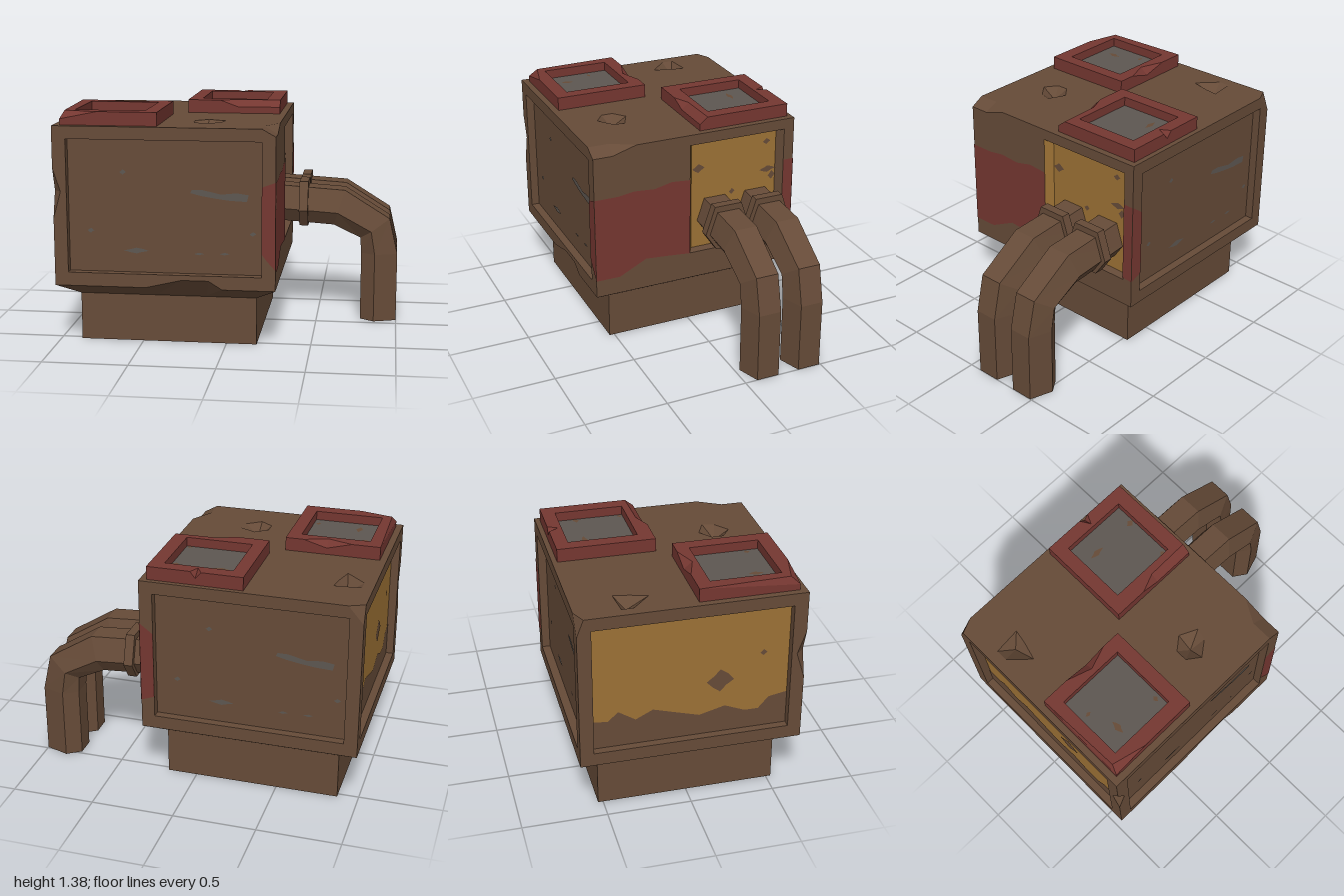
import * as THREE from 'three';

const mat = (name, color) => {
  const m = new THREE.MeshStandardMaterial({ color, side: THREE.DoubleSide });
  m.name = name;
  return m;
};

// Flat polygons (each a convex loop of 3D points) joined into one faceted mesh
function facets(parent, name, material, polys) {
  const v = [];
  for (const p of polys)
    for (let i = 1; i < p.length - 1; i++) v.push(...p[0], ...p[i], ...p[i + 1]);
  const g = new THREE.BufferGeometry();
  g.setAttribute('position', new THREE.Float32BufferAttribute(v, 3));
  g.computeVertexNormals();
  const mesh = new THREE.Mesh(g, material);
  mesh.name = name;
  parent.add(mesh);
}

// Flat sheet with holes, in the local plane of a side
function sheet(parent, name, material, outline, holes = [], z = 0) {
  const pts = a => a.map(p => new THREE.Vector2(p[0], p[1]));
  const s = new THREE.Shape(pts(outline));
  s.holes = holes.map(h => new THREE.Path(pts(h)));
  const mesh = new THREE.Mesh(new THREE.ShapeGeometry(s), material);
  mesh.position.z = z;
  mesh.name = name;
  parent.add(mesh);
}

const rect = (x0, y0, x1, y1) => [[x0, y0], [x1, y0], [x1, y1], [x0, y1]];

// Ragged paint patch
const blob = (cx, cy, rx, ry) => [1, 0.8, 1, 0.65, 1, 0.75, 0.95, 0.6].map((r, i) => {
  const a = i * Math.PI / 4;
  return [cx + rx * r * Math.cos(a), cy + ry * r * Math.sin(a)];
});

// Walls joining an outer loop to an inner loop at depth z1
function wallPolys(outer, inner, z0, z1) {
  return outer.map((p, i) => {
    const j = (i + 1) % outer.length;
    return [[...p, z0], [...inner[i], z1], [...inner[j], z1], [...outer[j], z0]];
  });
}

export function createModel() {
  const root = new THREE.Group();
  const brown = mat('rusty brown', 0x664b38);
  const red = mat('faded red', 0x753731);
  const yellow = mat('ochre yellow', 0x9c7135);
  const grey = mat('bare metal grey', 0x5d5751);

  const side = (name, x, y, z, rx, ry) => {
    const g = new THREE.Group();
    g.name = name;
    g.position.set(x, y, z);
    g.rotation.set(rx, ry, 0);
    root.add(g);
    return g;
  };
  const H = Math.PI / 2;
  const front = side('frontSide', 0, 0, 0.65, 0, 0);
  const back = side('backSide', 0, 0, -0.65, 0, Math.PI);
  const right = side('pipeSide', 0.3, 0, 0, 0, H);
  const left = side('paintedSide', -1, 0, 0, 0, -H);
  const top = side('topSide', 0, 1.305, 0, -H, 0);

  // Front and back walls with shallow recessed panels and scratches
  const frontHole = rect(-0.92, 0.44, 0.22, 1.23);
  const backHole = rect(-0.22, 0.44, 0.92, 1.23);
  sheet(front, 'frontWall', brown, [[-1, 0.36], [-0.46, 0.36], [-0.25, 0.41], [-0.09, 0.41], [-0.01, 0.36],
    [0.3, 0.36], [0.3, 1.26], [0.22, 1.305], [-1, 1.305], [-1, 1.06], [-0.955, 0.92], [-1, 0.76]], [frontHole]);
  sheet(back, 'backWall', brown, [[-0.3, 0.36], [1, 0.36], [1, 1.2], [0.91, 1.305], [-0.3, 1.305]], [backHole]);
  [[front, frontHole, 0], [back, backHole, 0.7]].forEach(([g, hole, du]) => {
    facets(g, 'panelRim', brown, wallPolys(hole, hole, 0, -0.05));
    sheet(g, 'panel', brown, hole, [], -0.05);
    sheet(g, 'longScratch', grey, [[-0.2, 0.92], [-0.14, 0.905], [-0.05, 0.89], [0.03, 0.88], [0.13, 0.875],
      [0.14, 0.915], [0.07, 0.925], [-0.02, 0.915], [-0.13, 0.94], [-0.19, 0.94]].map(([u, v]) => [u + du, v]), [], -0.046);
    for (const [u, v, a, b] of [[-0.52, 0.57, 0.075, 0.018], [-0.79, 0.685, 0.02, 0.015], [-0.595, 1.035, 0.02, 0.015],
      [0.165, 0.685, 0.02, 0.014], [-0.15, 0.56, 0.03, 0.008], [0, 0.563, 0.03, 0.008]])
      sheet(g, 'scratch', grey, blob(u + du, v, a, b), [], -0.046);
  });

  // Pipe side wall with deep panel
  const pOuter = rect(-0.04, 0.53, 0.585, 1.24), pInner = rect(-0.01, 0.537, 0.555, 1.23);
  sheet(right, 'pipeWall', brown, [[-0.65, 0.36], [0.65, 0.36], [0.65, 1.305], [-0.38, 1.305], [-0.53, 1.26], [-0.65, 1.26]], [pOuter]);
  const pWalls = wallPolys(pOuter, pInner, 0, -0.05);
  facets(right, 'pipePanelRim', brown, pWalls.slice(0, 3));
  facets(right, 'pipePanelPaintedRim', yellow, pWalls.slice(3));
  sheet(right, 'pipePanel', yellow, pInner, [], -0.05);
  for (const [u, v, a, b] of [[0.035, 1.06, 0.04, 0.03], [0.49, 1.16, 0.025, 0.02], [0.5, 0.975, 0.055, 0.022],
    [0.53, 0.93, 0.024, 0.03], [0.26, 0.87, 0.02, 0.02]])
    sheet(right, 'pipePanelRust', brown, blob(u, v, a, b), [], -0.046);

  // Red band wrapping around the corners
  sheet(right, 'redBand', red, [[-0.65, 0.47], [-0.5, 0.47], [-0.33, 0.555], [-0.2, 0.545], [-0.04, 0.53],
    [-0.04, 1.02], [-0.16, 1.03], [-0.27, 1.005], [-0.4, 1.015], [-0.5, 1], [-0.65, 1]], [], 0.003);
  sheet(right, 'redBandEnd', red, [[0.585, 0.545], [0.65, 0.54], [0.65, 1.04], [0.585, 1.04]], [], 0.003);
  sheet(front, 'redBandFront', red, [[0.22, 0.58], [0.25, 0.54], [0.3, 0.485], [0.3, 1], [0.22, 0.97]], [], 0.003);
  sheet(back, 'redBandBack', red, [[-0.3, 0.54], [-0.22, 0.57], [-0.22, 0.98], [-0.3, 1.04]], [], 0.003);

  // Painted side wall with wide panel
  const lHole = rect(-0.57, 0.44, 0.57, 1.23);
  sheet(left, 'paintedWall', brown, [[-0.65, 0.36], [0.65, 0.36], [0.65, 0.76], [0.6, 0.92], [0.65, 1.06],
    [0.65, 1.305], [-0.61, 1.305], [-0.65, 1.2]], [lHole]);
  facets(left, 'paintedPanelRim', brown, wallPolys(lHole, lHole, 0, -0.05));
  sheet(left, 'paintedPanel', yellow, lHole, [], -0.05);
  sheet(left, 'paintedPanelRust', brown, [[-0.57, 0.44], [0.57, 0.44], [0.57, 0.65], [0.46, 0.63], [0.4, 0.56],
    [0.32, 0.56], [0.2, 0.61], [0.05, 0.57], [-0.12, 0.62], [-0.22, 0.65], [-0.32, 0.6], [-0.42, 0.665], [-0.48, 0.61], [-0.57, 0.62]], [], -0.046);
  sheet(left, 'rustPatch', brown, blob(0.17, 0.78, 0.08, 0.075), [], -0.046);
  sheet(left, 'rustDot', brown, blob(0.42, 0.93, 0.02, 0.02), [], -0.046);

  // Top with two dents
  const dents = [
    { rim: [[-0.935, 0.32], [-0.82, 0.21], [-0.79, 0.32], [-0.775, 0.405], [-0.935, 0.39]], tip: [-0.845, 0.345, -0.06] },
    { rim: [[-0.21, -0.4], [-0.135, -0.455], [-0.05, -0.39], [-0.03, -0.32], [-0.135, -0.27], [-0.21, -0.33]], tip: [-0.135, -0.365, -0.06] }];
  sheet(top, 'topWall', brown, [[-1, -0.65], [0.22, -0.65], [0.22, -0.52], [0.3, -0.38], [0.3, 0.65], [-0.91, 0.65], [-1, 0.61]],
    dents.map(d => d.rim));
  for (const { rim, tip } of dents)
    facets(top, 'dent', brown, rim.map((p, i) => [[...p, 0], [...rim[(i + 1) % rim.length], 0], tip]));

  // Chipped corners and edges
  const E = [0.22, 1.305, 0.52], B = [0.3, 1.26, 0.65], C = [0.3, 1.26, 0.53];
  const n1 = [-0.955, 0.92, 0.65], n2 = [-1, 0.92, 0.6];
  const a = [-0.46, 0.36, 0.65], b = [-0.25, 0.41, 0.65], c = [-0.09, 0.41, 0.65], d = [-0.01, 0.36, 0.65];
  const e = [-0.4, 0.3, 0.554], f = [-0.11, 0.3, 0.554];
  facets(root, 'chips', brown, [
    [E, [0.22, 1.305, 0.65], B], [E, B, C], [E, C, [0.3, 1.305, 0.38]],
    [[-0.91, 1.305, -0.65], [-1, 1.2, -0.65], [-1, 1.305, -0.61]],
    [[-1, 1.06, 0.65], n2, n1], [[-1, 0.76, 0.65], n1, n2],
    [a, e, b], [b, e, f, c], [c, f, d]]);

  // Sloped underside leading to the plinth
  const up = [[-1, 0.36, 0.65], [0.3, 0.36, 0.65], [0.3, 0.36, -0.65], [-1, 0.36, -0.65]];
  const lo = [[-0.875, 0.285, 0.53], [0.18, 0.285, 0.53], [0.18, 0.285, -0.53], [-0.875, 0.285, -0.53]];
  const slopes = [[up[0], lo[0], e, a], [lo[0], lo[1], f, e], [f, lo[1], up[1], d]];
  for (let i = 1; i < 4; i++) slopes.push([up[i], lo[i], lo[(i + 1) % 4], up[(i + 1) % 4]]);
  facets(root, 'underside', brown, slopes);
  const plinth = new THREE.Mesh(new THREE.BoxGeometry(1.055, 0.285, 1.06), brown);
  plinth.position.set(-0.3475, 0.1425, 0);
  plinth.name = 'plinth';
  root.add(plinth);

  // Roof hatches: outline points are [u, v, inset u, inset v, drop] for worn edges
  const hatch = (outline, hole, spots) => {
    const h = 0.08, n = outline.length, polys = [];
    const bot = p => [p[0], p[1], 0];
    const mid = p => [p[0], p[1], h - (p[4] || 0)];
    const cap = p => [p[0] + (p[2] || 0), p[1] + (p[3] || 0), h];
    outline.forEach((p, i) => {
      const q = outline[(i + 1) % n];
      polys.push([bot(p), bot(q), mid(q), mid(p)]);
      if (p[4]) polys.push([mid(p), mid(q), cap(q), cap(p)]);
      else if (q[4]) polys.push([mid(p), mid(q), cap(q)]);
    });
    facets(top, 'hatchFrameSides', red, polys.concat(wallPolys(hole, hole, h, 0.025)));
    sheet(top, 'hatchFrameTop', red, outline.map(cap), [hole], h);
    sheet(top, 'hatchPlate', grey, hole, [], 0.025);
    for (const s of spots) sheet(top, 'hatchRust', brown, blob(...s), [], 0.028);
  };
  hatch([[-0.31, 0.04], [-0.11, 0.04], [0, 0.04, 0, 0.045, 0.04], [0.26, 0.04, 0, 0.05, 0.04], [0.26, 0.62],
    [0, 0.62], [-0.03, 0.62, 0, -0.06, 0.04], [-0.065, 0.62], [-0.31, 0.62]], rect(-0.23, 0.13, 0.175, 0.54),
  [[-0.12, 0.42, 0.05, 0.018], [0.15, 0.42, 0.025, 0.02], [0.15, 0.15, 0.015, 0.015]]);
  hatch([[-0.96, -0.61, 0.02, 0.05, 0.045], [-0.74, -0.61], [-0.39, -0.61], [-0.39, -0.035], [-0.5, -0.035],
    [-0.64, -0.035, 0, -0.05, 0.04], [-0.79, -0.035], [-0.96, -0.035]], rect(-0.885, -0.525, -0.47, -0.115),
  [[-0.765, -0.42, 0.02, 0.045], [-0.5, -0.45, 0.015, 0.02], [-0.83, -0.25, 0.02, 0.012]]);

  // Bent six-sided pipes with collars
  const section = [[0.11, -0.07], [0.11, 0.07], [-0.03, 0.117], [-0.115, 0.06], [-0.115, -0.06], [-0.03, -0.117]];
  const loft = (name, z, path) => {
    const rings = path.map(([x, y, deg, s]) => {
      const t = deg * Math.PI / 180;
      return section.map(([n, w]) => [x + Math.sin(t) * n * s, y + Math.cos(t) * n * s, z + w * Math.max(s, 1)]);
    });
    const polys = [rings[rings.length - 1], [...rings[0]].reverse()];
    for (let i = 0; i < rings.length - 1; i++)
      for (let j = 0; j < 6; j++) {
        const k = (j + 1) % 6;
        polys.push([rings[i][j], rings[i][k], rings[i + 1][k], rings[i + 1][j]]);
      }
    facets(root, name, brown, polys);
  };
  for (const z of [-0.147, -0.42]) {
    loft('pipe', z, [[0.25, 0.745, 0, 1], [0.635, 0.72, 17, 1.03], [0.86, 0.592, 55, 0.98], [0.89, 0.43, 90, 1], [0.89, 0, 90, 1]]);
    loft('pipeCollar', z, [[0.385, 0.743, 0, 1.25], [0.44, 0.743, 0, 1.25]]);
  }
  return root;
}
